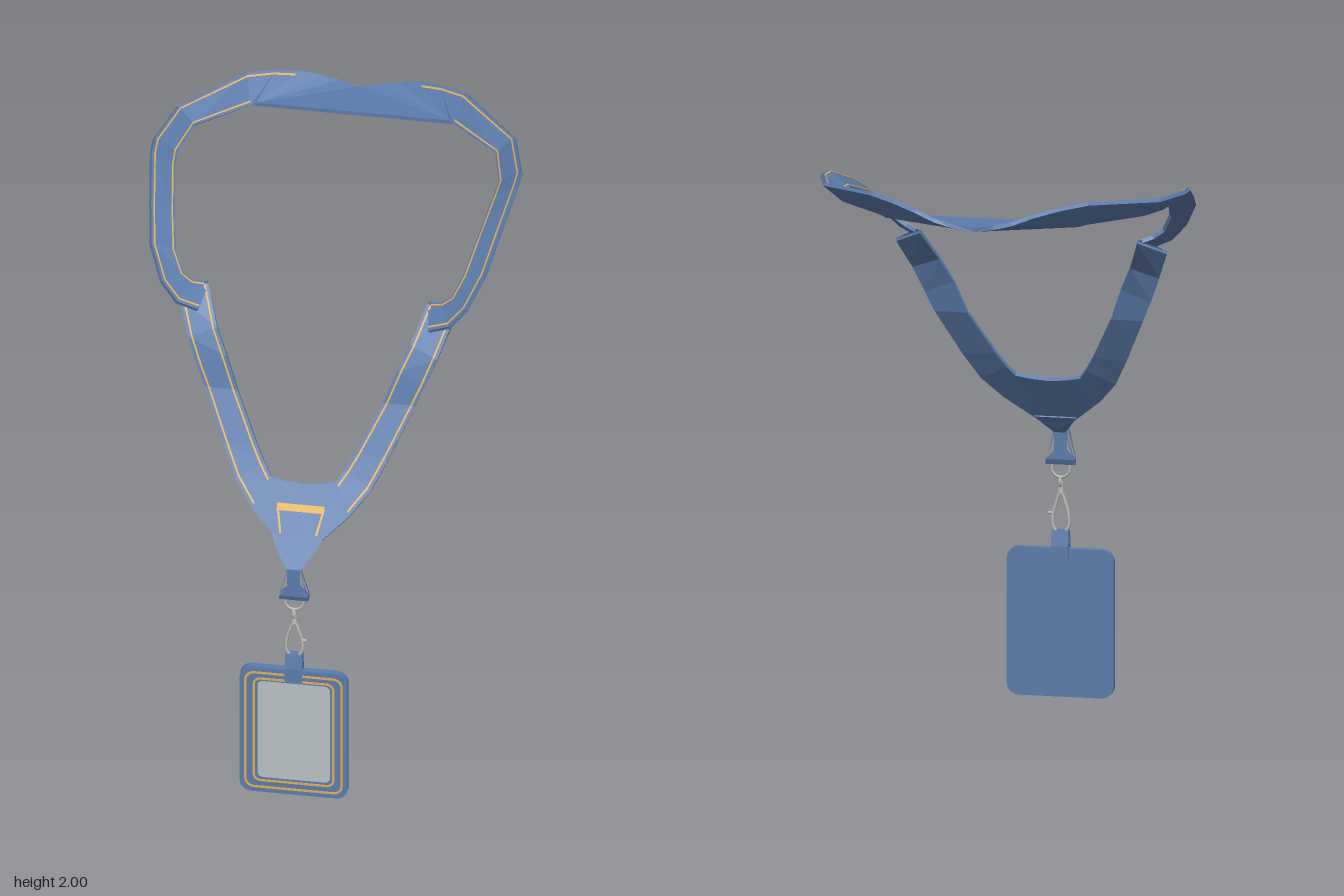
import * as THREE from 'three';

const blue = new THREE.MeshStandardMaterial({ color: 0x5c7cac });
blue.name = 'webbing blue';
const orange = new THREE.MeshStandardMaterial({ color: 0xe0ae55 });
orange.name = 'stitch orange';
const grey = new THREE.MeshStandardMaterial({ color: 0xbac2c5 });
grey.name = 'window grey';
const silver = new THREE.MeshStandardMaterial({ color: 0xb9bab6 });
silver.name = 'clip silver';

const V = (p) => new THREE.Vector3(...p);

// Cross-sections of one half, as [outer edge, inner edge]; the other half is mirrored.
const corner = [0.33, 1.907, -0.545];
const neckRows = [
  [[0, 1.908, -0.69], [0, 1.907, -0.545]],
  [[0.005, 1.908, -0.69], corner],
  [[0.07, 1.92, -0.705], corner],
  [[0.13, 1.935, -0.702], corner],
  [[0.2, 1.96, -0.685], corner],
  [[0.28, 1.98, -0.65], corner],
  [[0.37, 1.993, -0.6], [0.345, 1.91, -0.53]],
  [[0.57, 1.97, -0.4], [0.51, 1.915, -0.38]],
  [[0.62, 1.96, -0.22], [0.545, 1.905, -0.23]],
  [[0.618, 1.955, -0.15], [0.54, 1.9, -0.15]],
  [[0.59, 1.89, 0.04], [0.51, 1.84, 0.04]],
  [[0.565, 1.825, 0.19], [0.487, 1.785, 0.16]],
  [[0.515, 1.735, 0.275], [0.455, 1.725, 0.2]],
  [[0.46, 1.675, 0.3], [0.42, 1.7, 0.2]],
  [[0.39, 1.645, 0.292], [0.385, 1.688, 0.185]],
];
const strapRows = [
  [[0.46, 1.642, 0.232], [0.37, 1.685, 0.185]],
  [[0.42, 1.54, 0.3], [0.325, 1.575, 0.28]],
  [[0.385, 1.45, 0.33], [0.285, 1.49, 0.32]],
  [[0.355, 1.38, 0.35], [0.245, 1.38, 0.35]],
  [[0.28, 1.22, 0.437], [0.165, 1.225, 0.435]],
  [[0.23, 1.125, 0.498], [0.135, 1.175, 0.465]],
  [[0.165, 1.05, 0.555], [0.11, 1.14, 0.49]],
  [[0.07, 0.97, 0.615], [0.06, 1.13, 0.497]],
  [[0, 0.925, 0.65], [0, 1.125, 0.5]],
];

// Solid ribbon between fractions f0..f1 of the width, from lo to hi above the middle surface.
function ribbon(rows, s, f0, f1, lo, hi) {
  const edges = rows.map(([o, i]) => [V(o), V(i)]);
  const mids = edges.map(([o, i]) => o.clone().lerp(i, 0.5));
  const pos = [], idx = [];
  edges.forEach(([o, i], r) => {
    const t = mids[Math.min(r + 1, mids.length - 1)].clone().sub(mids[Math.max(r - 1, 0)]);
    const n = t.cross(o.clone().sub(i)).normalize();
    const a = o.clone().lerp(i, f0), b = o.clone().lerp(i, f1);
    for (const [p, h] of [[a, hi], [b, hi], [b, lo], [a, lo]]) {
      const q = p.clone().addScaledVector(n, h);
      pos.push(q.x * s, q.y, q.z);
    }
  });
  const tri = (a, b, c) => (s > 0 ? idx.push(a, b, c) : idx.push(a, c, b));
  for (let r = 0; r < rows.length - 1; r++) {
    for (let k = 0; k < 4; k++) {
      const a = r * 4 + k, b = r * 4 + ((k + 1) % 4);
      tri(a, b, b + 4);
      tri(a, b + 4, a + 4);
    }
  }
  const e = (rows.length - 1) * 4;
  tri(0, 2, 1); tri(0, 3, 2);
  tri(e, e + 1, e + 2); tri(e, e + 2, e + 3);
  const g = new THREE.BufferGeometry();
  g.setAttribute('position', new THREE.Float32BufferAttribute(pos, 3));
  g.setIndex(idx);
  const flat = g.toNonIndexed();
  flat.computeVertexNormals();
  return flat;
}

// Rounded rectangle centred on x, between y0 and y1.
function roundRect(Type, w, y0, y1, r) {
  const p = new Type(), h = Math.PI / 2;
  p.absarc(w - r, y0 + r, r, -h, 0);
  p.absarc(w - r, y1 - r, r, 0, h);
  p.absarc(-w + r, y1 - r, r, h, 2 * h);
  p.absarc(-w + r, y0 + r, r, 2 * h, 3 * h);
  p.closePath();
  return p;
}

// Side profile in (z, y) with a hole, extruded across x to the half width given for each height.
function sideLoop(outline, hole, half) {
  const vec = (a) => a.map((p) => new THREE.Vector2(...p));
  const shape = new THREE.Shape(vec(outline));
  shape.holes.push(new THREE.Path(vec(hole)));
  const g = new THREE.ExtrudeGeometry(shape, { depth: 2, bevelEnabled: false });
  g.translate(0, 0, -1).rotateY(-Math.PI / 2);
  const p = g.attributes.position;
  for (let i = 0; i < p.count; i++) p.setX(i, p.getX(i) * half(p.getY(i)));
  g.computeVertexNormals();
  return g;
}

export function createModel() {
  const model = new THREE.Group();
  const add = (name, geo, mat, parent = model) => {
    const m = new THREE.Mesh(geo, mat);
    m.name = name;
    parent.add(m);
    return m;
  };

  // Neck band, front straps and their edge stitching
  const T = 0.007;
  for (const s of [1, -1]) {
    const side = new THREE.Group();
    side.name = s > 0 ? 'leftStrap' : 'rightStrap';
    model.add(side);
    add('neckBand', ribbon(neckRows, s, 0, 1, -T, T), blue, side);
    add('frontStrap', ribbon(strapRows, s, 0, 1, -T, T), blue, side);
    add('strapFold', ribbon([neckRows.at(-1), strapRows[0]], s, 0, 1, -0.004, 0.004), blue, side);
    add('neckOuterStitch', ribbon(neckRows.slice(4), s, 0.09, 0.15, T, T + 0.002), orange, side);
    add('neckInnerStitch', ribbon(neckRows.slice(6), s, 0.85, 0.91, T, T + 0.002), orange, side);
    add('strapOuterStitch', ribbon(strapRows.slice(0, 7), s, 0.1, 0.16, T, T + 0.002), orange, side);
    add('strapInnerStitch', ribbon(strapRows.slice(0, 7), s, 0.84, 0.9, T, T + 0.002), orange, side);
  }

  // Stitched join where the straps meet
  const join = new THREE.Group();
  join.name = 'joinStitching';
  join.position.set(0, 1.063, 0.553);
  join.rotation.x = -0.64;
  model.add(join);
  add('crossStitch', new THREE.BoxGeometry(0.16, 0.025, 0.004), orange, join);
  for (const s of [1, -1]) {
    const m = add('sideStitch', new THREE.BoxGeometry(0.007, 0.08, 0.004), orange, join);
    m.position.set(s * 0.068, -0.048, 0);
    m.rotation.z = -s * 0.2;
  }

  // Clamp narrowing into a hanging loop that flares at its foot
  const widths = [[0.8, 0.05], [0.812, 0.048], [0.84, 0.019], [0.905, 0.019], [0.925, 0.024], [0.975, 0.075], [1, 0.088]];
  const halfWidth = (y) => {
    if (y <= widths[0][0]) return widths[0][1];
    for (let i = 1; i < widths.length; i++) {
      const [y0, w0] = widths[i - 1], [y1, w1] = widths[i];
      if (y <= y1) return w0 + ((w1 - w0) * (y - y0)) / (y1 - y0);
    }
    return widths.at(-1)[1];
  };
  add('hangingLoop', sideLoop(
    [[0.60, 0.972], [0.672, 0.905], [0.672, 0.84], [0.672, 0.812], [0.68, 0.793], [0.702, 0.793],
      [0.71, 0.812], [0.71, 0.84], [0.71, 0.922], [0.66, 0.965], [0.622, 0.997]],
    [[0.682, 0.812], [0.682, 0.84], [0.682, 0.905], [0.7, 0.912], [0.7, 0.84], [0.7, 0.812]],
    halfWidth), blue);

  // Metal ring, swivel and snap clip
  const Z = 0.69;
  add('ring', new THREE.TorusGeometry(0.03, 0.005, 8, 28), silver).position.set(0, 0.778, Z);
  const eye = add('swivelEye', new THREE.TorusGeometry(0.015, 0.005, 8, 20), silver);
  eye.position.set(0, 0.733, Z);
  eye.rotation.y = Math.PI / 2;
  add('swivel', new THREE.CylinderGeometry(0.008, 0.011, 0.025, 14), silver).position.set(0, 0.706, Z);
  const hook = new THREE.CatmullRomCurve3(
    [[0, 0.7], [0.013, 0.67], [0.027, 0.615], [0.024, 0.575], [0, 0.553], [-0.024, 0.575], [-0.027, 0.615], [-0.013, 0.67]]
      .map(([x, y]) => new THREE.Vector3(x, y, Z)), true);
  add('snapClip', new THREE.TubeGeometry(hook, 48, 0.006, 8, true), silver);
  const knob = add('clipKnob', new THREE.CylinderGeometry(0.005, 0.005, 0.018, 10), silver);
  knob.position.set(0.033, 0.625, Z);
  knob.rotation.z = Math.PI / 2;

  // Tab holding the card case to the clip
  add('caseTab', sideLoop(
    [[0.668, 0.463], [0.679, 0.463], [0.679, 0.51], [0.701, 0.51], [0.701, 0.463], [0.711, 0.463],
      [0.711, 0.515], [0.702, 0.568], [0.678, 0.568], [0.668, 0.515]],
    [[0.68, 0.52], [0.7, 0.52], [0.697, 0.555], [0.683, 0.555]],
    () => 0.029), blue);

  // Card case: back panel, raised frame, window and stitched outlines
  const extrude = (shape, depth, z) =>
    new THREE.ExtrudeGeometry(shape, { depth, bevelEnabled: false, curveSegments: 8 }).translate(0, 0, z);
  const outline = (w, y0, y1, r, t) => {
    const s = roundRect(THREE.Shape, w, y0, y1, r);
    s.holes.push(roundRect(THREE.Path, w - t, y0 + t, y1 - t, r - t));
    return s;
  };
  add('caseBack', extrude(roundRect(THREE.Shape, 0.182, 0, 0.506, 0.042), 0.016, 0.679), blue);
  const frame = roundRect(THREE.Shape, 0.182, 0, 0.506, 0.042);
  frame.holes.push(roundRect(THREE.Path, 0.123, 0.058, 0.452, 0.02));
  add('caseFrame', extrude(frame, 0.008, 0.695), blue);
  add('cardWindow', extrude(roundRect(THREE.Shape, 0.123, 0.058, 0.452, 0.02), 0.004, 0.695), grey);
  add('outerCaseStitch', extrude(outline(0.166, 0.017, 0.489, 0.034, 0.008), 0.002, 0.703), orange);
  add('innerCaseStitch', extrude(outline(0.138, 0.044, 0.466, 0.028, 0.008), 0.002, 0.703), orange);

  return model;
}
